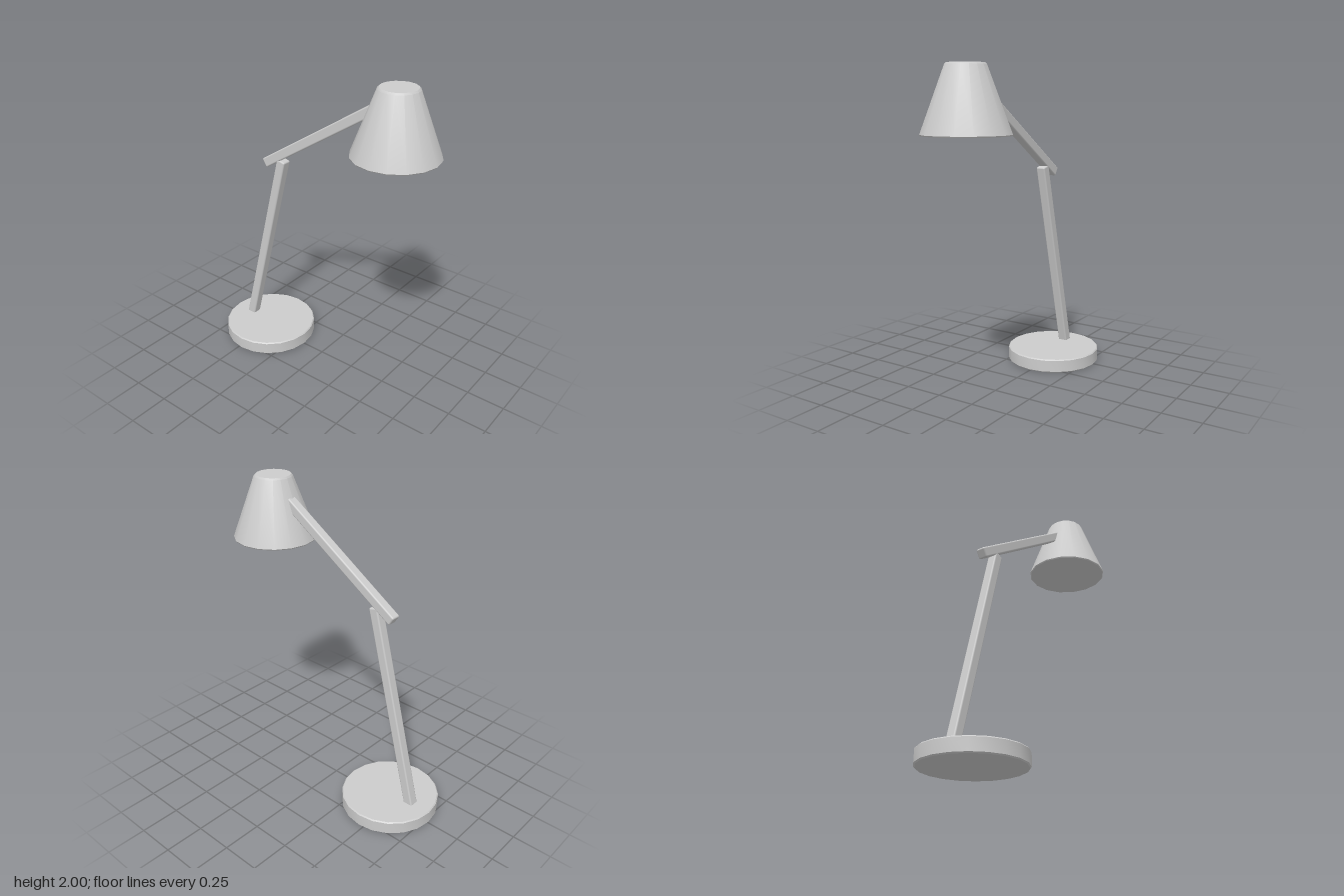
import * as THREE from 'three';
import { toCreasedNormals } from 'three/addons/utils/BufferGeometryUtils.js';
import { RoundedBoxGeometry } from 'three/addons/geometries/RoundedBoxGeometry.js';

const grey = new THREE.MeshStandardMaterial({ color: 0xcccccc });
grey.name = 'light grey';

function addMesh(group, name, geometry) {
  const mesh = new THREE.Mesh(geometry, grey);
  mesh.name = name;
  group.add(mesh);
  return mesh;
}

// Solid of revolution with closed ends and crisp edges
function turned(profile, sides) {
  const points = profile.map(([r, y]) => new THREE.Vector2(r, y));
  return toCreasedNormals(new THREE.LatheGeometry(points, sides), 0.5);
}

// Square bar with softened edges between two points in the x-y plane
function addBar(group, name, from, to) {
  const a = new THREE.Vector3(from[0], from[1], 0);
  const b = new THREE.Vector3(to[0], to[1], 0);
  const bar = addMesh(group, name, new RoundedBoxGeometry(0.063, a.distanceTo(b), 0.063, 2, 0.01));
  bar.position.copy(a).add(b).multiplyScalar(0.5);
  bar.quaternion.setFromUnitVectors(new THREE.Vector3(0, 1, 0), b.sub(a).normalize());
}

export function createModel() {
  const lamp = new THREE.Group();
  lamp.name = 'deskLamp';

  // Round foot with bevelled rims
  const base = addMesh(lamp, 'base', turned([
    [0, 0], [0.306, 0], [0.313, 0.007], [0.313, 0.083], [0.306, 0.09], [0, 0.09],
  ], 20));
  base.position.x = -0.47;

  // Two arms, the upper one resting on the lower
  addBar(lamp, 'lowerArm', [-0.65, 0.03], [-0.309, 1.367]);
  addBar(lamp, 'upperArm', [-0.447, 1.32], [0.41, 1.874]);

  // Conical shade, closed underneath
  const shade = addMesh(lamp, 'shade', turned([
    [0, 1.6], [0.259, 1.6], [0.264, 1.607], [0.12, 1.99], [0.11, 2], [0, 2],
  ], 16));
  shade.position.x = 0.519;

  return lamp;
}
